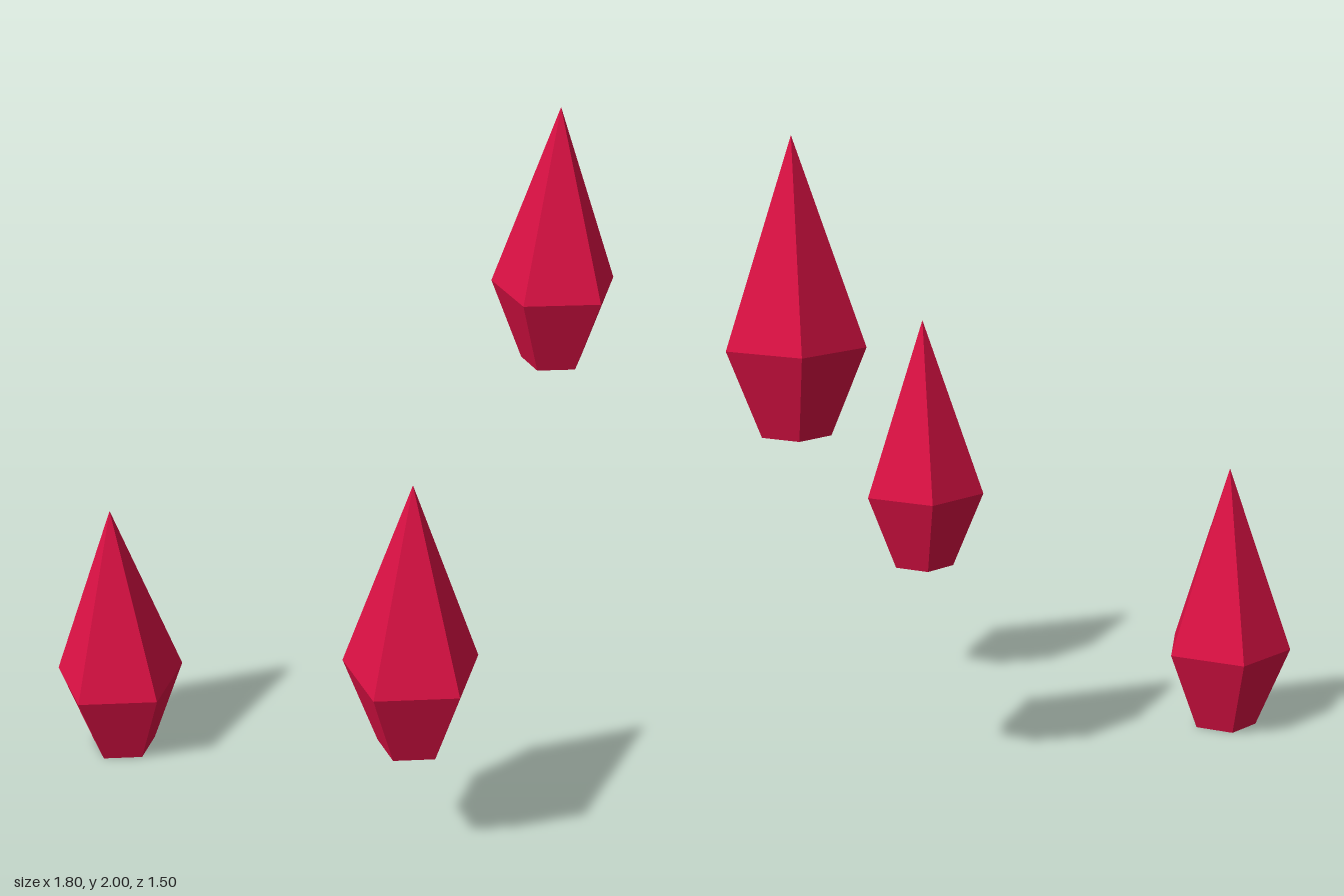
import * as THREE from 'three';

export function createModel() {
  const model = new THREE.Group();
  model.name = 'floatingCrystals';

  const crimson = new THREE.MeshStandardMaterial({ color: 0xdd1144, flatShading: true });
  crimson.name = 'crimson';

  // Five-sided crystal: closed base, flared waist, sharp tip
  const profile = [
    [0, 0], [0.106, 0], [0.212, 0.262], [0, 0.865],
  ].map(([r, y]) => new THREE.Vector2(r, y));
  const crystal = new THREE.LatheGeometry(profile, 5, -0.088);

  // Three copies at different heights
  const places = {
    lowCrystal: [-0.698, 0, -0.568],
    middleCrystal: [-0.464, 0.4, 0.535],
    highCrystal: [0.704, 1.135, 0.035],
  };
  for (const [name, position] of Object.entries(places)) {
    const mesh = new THREE.Mesh(crystal, crimson);
    mesh.name = name;
    mesh.position.set(...position);
    model.add(mesh);
  }
  return model;
}
